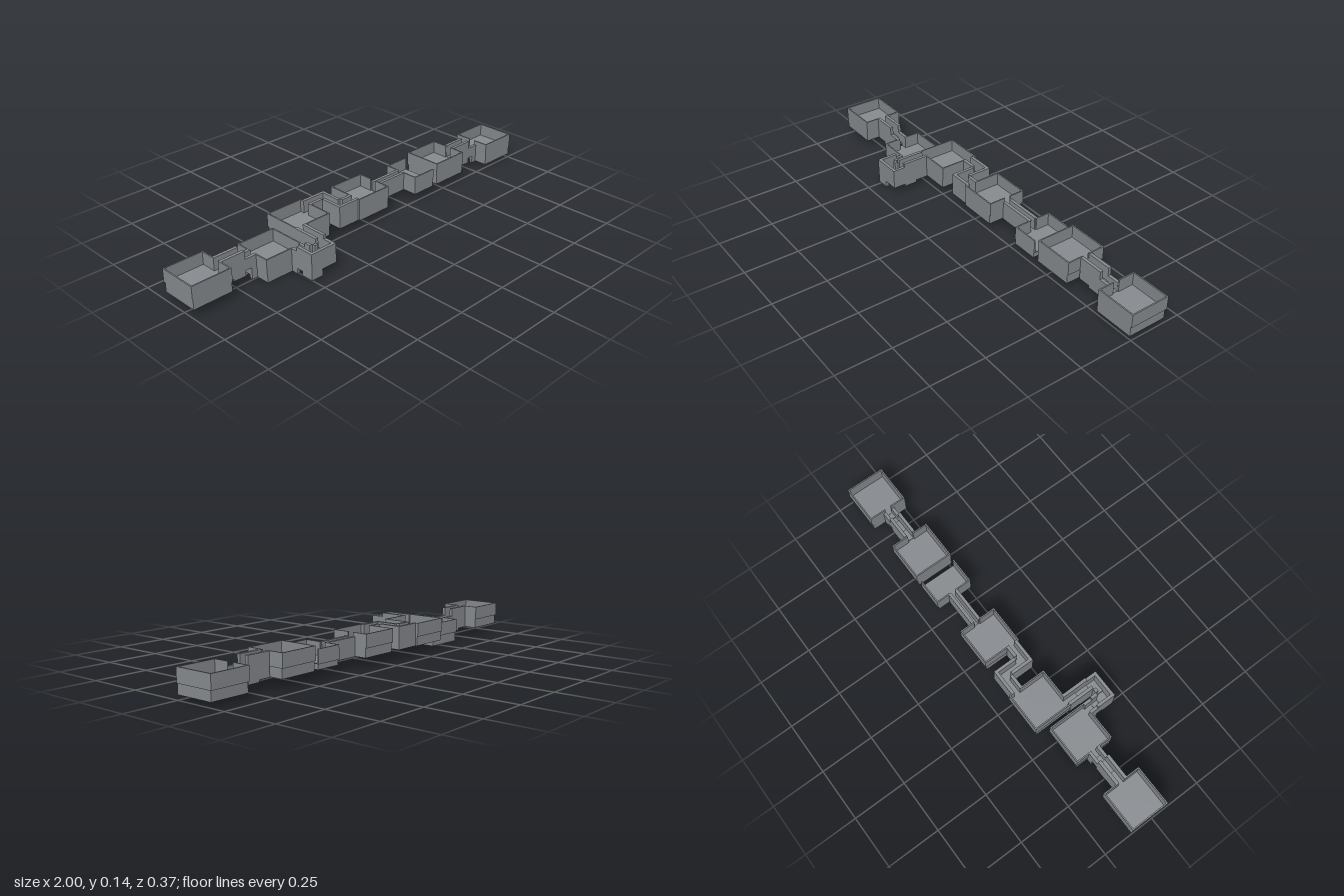
import * as THREE from 'three';

const stone = new THREE.MeshStandardMaterial({ color: 0x888c90 });
stone.name = 'grey stone';

const ROOM_WALL = 0.006, HALL_WALL = 0.0145, DOOR = 0.029;

function box(parent, name, x0, x1, y0, y1, z0, z1) {
  const mesh = new THREE.Mesh(new THREE.BoxGeometry(x1 - x0, y1 - y0, z1 - z0), stone);
  mesh.position.set((x0 + x1) / 2, (y0 + y1) / 2, (z0 + z1) / 2);
  mesh.name = name;
  parent.add(mesh);
}

// Walls on the chosen sides (n = -z, s = +z, e = +x, w = -x), with optional doorways
function walls(parent, [x0, x1], [z0, z1], y0, y1, t, sides, doors = {}) {
  for (const side of sides) {
    const alongX = side === 'n' || side === 's';
    const [a, b] = alongX ? [x0, x1] : [z0, z1];
    const gap = doors[side];
    const runs = gap === undefined ? [[a, b]] : [[a, gap - DOOR / 2], [gap + DOOR / 2, b]];
    for (const [p, q] of runs) {
      if (side === 'n') box(parent, 'wall', p, q, y0, y1, z0, z0 + t);
      if (side === 's') box(parent, 'wall', p, q, y0, y1, z1 - t, z1);
      if (side === 'w') box(parent, 'wall', x0, x0 + t, y0, y1, p, q);
      if (side === 'e') box(parent, 'wall', x1 - t, x1, y0, y1, p, q);
    }
  }
}

// Open-topped room: solid base with thin walls above the floor
function room(parent, name, x, z, [bottom, floor, top], doors, sides = 'nsew') {
  const g = new THREE.Group();
  g.name = name;
  box(g, 'base', x[0] + 0.002, x[1] - 0.004, bottom, floor, z[0] + 0.006, z[1]);
  box(g, 'floor', x[0], x[1], floor - 0.004, floor, z[0], z[1]);
  walls(g, x, z, floor, top, ROOM_WALL, sides, doors);
  parent.add(g);
}

// Corridor piece: thick side walls with a floor slab between them
function hall(parent, name, x, z, [bottom, floor, top], sides) {
  const g = new THREE.Group();
  g.name = name;
  const inset = (s) => (sides.includes(s) ? HALL_WALL : 0);
  box(g, 'floor', x[0] + inset('w'), x[1] - inset('e'), Math.max(bottom, floor - 0.031), floor,
    z[0] + inset('n'), z[1] - inset('s'));
  walls(g, x, z, bottom, top, HALL_WALL, sides);
  parent.add(g);
}

export function createModel() {
  const model = new THREE.Group();
  model.name = 'dungeon';
  const high = [0.04, 0.087, 0.145];
  const mid = [0.02, 0.068, 0.127];
  const low = [0, 0.048, 0.107];

  // Rooms, from right to left
  room(model, 'endRoomRight', [-1, -0.81], [-0.123, 0.063], high, { e: -0.031 });
  room(model, 'lowRoom', [-0.64, -0.45], [-0.123, 0.063], low, { w: -0.031, s: -0.48 });
  room(model, 'upperRoom', [-0.43, -0.24], [-0.183, 0.004], high, { s: -0.403, e: -0.142 });
  room(model, 'middleRoom', [-0.065, 0.12], [-0.177, 0.004], high, { w: -0.033, e: -0.091 });
  room(model, 'halfRoom', [0.295, 0.422], [-0.177, 0.004], [0.04, 0.068, 0.127], { w: -0.091 }, 'nsw');
  room(model, 'stairRoom', [0.445, 0.635], [-0.183, 0.004], high, { e: -0.087 });
  room(model, 'endRoomLeft', [0.81, 1], [-0.183, 0.004], mid, { w: -0.087 });

  // Straight stepped corridors
  const steps = (x0, z, end) => {
    const cuts = [0, 0.055, 0.115, 0.145, 0.172];
    const levels = [high, [0.03, 0.08, 0.145], [0.055, 0.062, 0.107],
      [end[0], end[1], 0.107]];
    levels.forEach((y, i) =>
      hall(model, 'steppedCorridor', [x0 + cuts[i], x0 + cuts[i + 1]], z, y, 'ns'));
  };
  steps(-0.81, [-0.06, -0.002], low);
  steps(0.637, [-0.116, -0.058], mid);

  // Straight level corridor
  hall(model, 'straightCorridor', [0.12, 0.295], [-0.115, -0.067], [0.04, 0.068, 0.127], 'ns');

  // Bent corridor between the upper and middle rooms
  const zA = [-0.171, -0.113], zB = [-0.062, -0.004], xBend = [-0.175, -0.117];
  hall(model, 'bentCorridor', [-0.24, xBend[0]], zA, high, 'ns');
  hall(model, 'bentCorridor', xBend, zA, high, 'ne');
  hall(model, 'bentCorridor', xBend, [zA[1], zB[0]], high, 'ew');
  hall(model, 'bentCorridor', xBend, zB, high, 'sw');
  hall(model, 'bentCorridor', [xBend[1], -0.065], zB, high, 'ns');

  // U-shaped descending corridor between the upper and low rooms
  const xR = [-0.432, -0.374], xL = [-0.508, -0.45], zU = [0.125, 0.184];
  hall(model, 'descendingCorridor', xR, [0.004, 0.063], [0.037, 0.085, 0.145], 'ew');
  hall(model, 'descendingCorridor', xR, [0.063, 0.125], [0.026, 0.075, 0.145], 'ew');
  hall(model, 'descendingCorridor', xR, zU, [0.037, 0.068, 0.127], 'se');
  hall(model, 'descendingCorridor', [xL[1], xR[0]], zU, [0.037, 0.068, 0.127], 'ns');
  hall(model, 'descendingCorridor', xL, zU, [0.006, 0.058, 0.127], 'sw');
  hall(model, 'descendingCorridor', xL, [0.094, 0.125], [0.026, 0.052, 0.127], 'ew');
  hall(model, 'descendingCorridor', xL, [0.063, 0.094], low, 'ew');

  return model;
}
